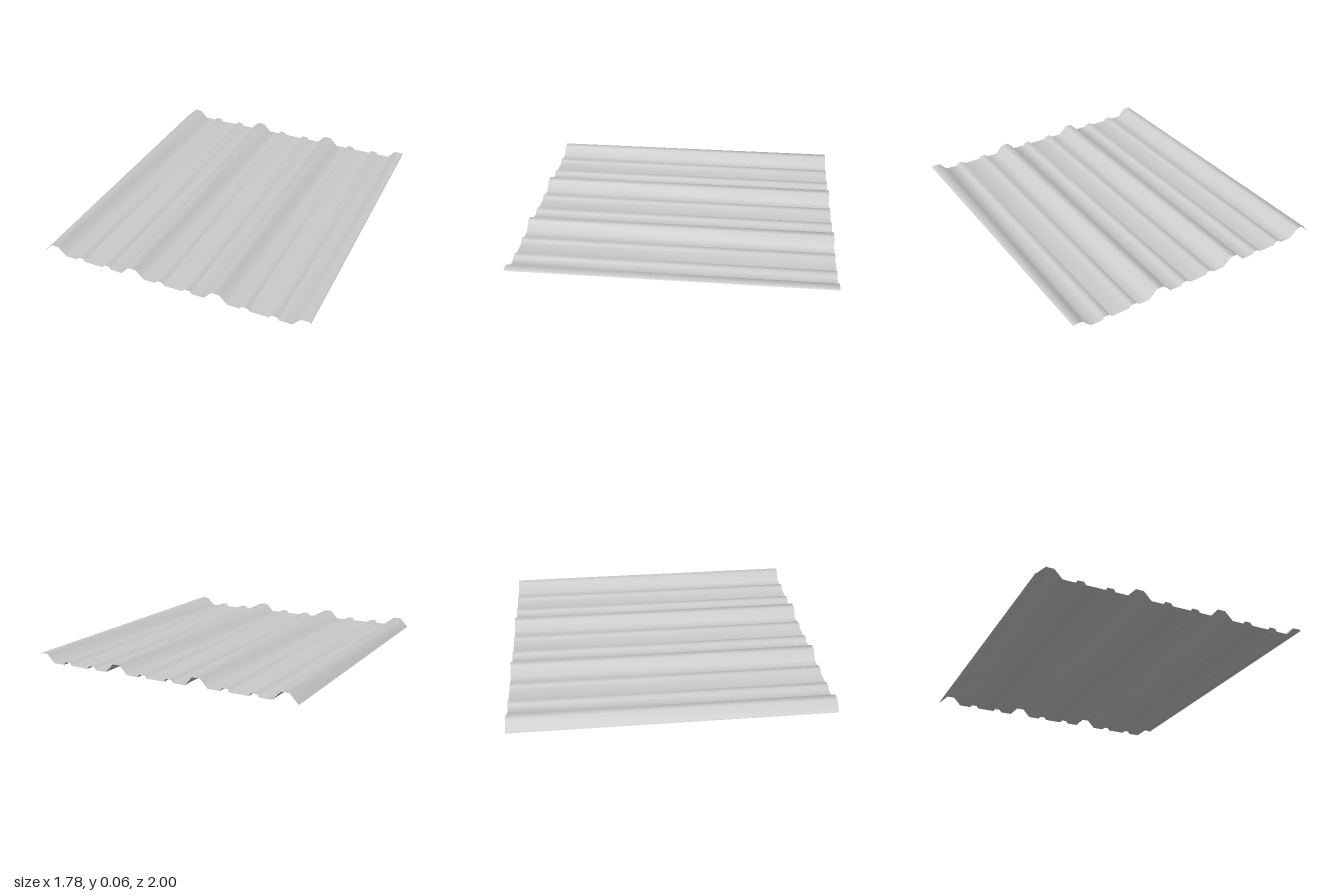
import * as THREE from 'three';

const BASE = 0.003, PITCH = 0.553, FIRST = -0.805;
const RIB = { base: 0.076, top: 0.025, height: 0.057 };
const STIFFENER = { base: 0.031, top: 0.019, height: 0.021 };

// Trapezoid cross-section of one rib, centred on x
function ribPoints(x, { base, top, height }) {
  return [[x - base, BASE], [x - top, height], [x + top, height], [x + base, BASE]];
}

// Cross-section of the sheet from the right edge (-x) to the left edge (+x)
function sheetProfile() {
  const points = [[-0.888, 0]];
  for (let i = 0; i < 3; i++) {
    const x = FIRST + i * PITCH;
    points.push(
      ...ribPoints(x, RIB),
      ...ribPoints(x + 0.185, STIFFENER),
      ...ribPoints(x + 0.368, STIFFENER)
    );
  }
  // The last rib is cut off just past its crown, with a small lip turned down
  points.push(...ribPoints(FIRST + 3 * PITCH, RIB).slice(0, 3), [0.888, 0.05]);
  return points;
}

export function createModel() {
  const group = new THREE.Group();
  group.name = 'corrugatedRoofPanel';

  // Flat plane with one column of vertices per profile point, then folded
  const profile = sheetProfile();
  const geometry = new THREE.PlaneGeometry(1, 2, profile.length - 1, 1);
  geometry.rotateX(-Math.PI / 2);
  const position = geometry.attributes.position;
  for (let i = 0; i < position.count; i++) {
    const [x, y] = profile[i % profile.length];
    position.setXY(i, x, y);
  }
  geometry.computeVertexNormals();

  const sheet = new THREE.Mesh(
    geometry,
    new THREE.MeshStandardMaterial({ color: 0xcccccc, side: THREE.DoubleSide })
  );
  sheet.name = 'ribbedSheet';
  group.add(sheet);
  return group;
}
